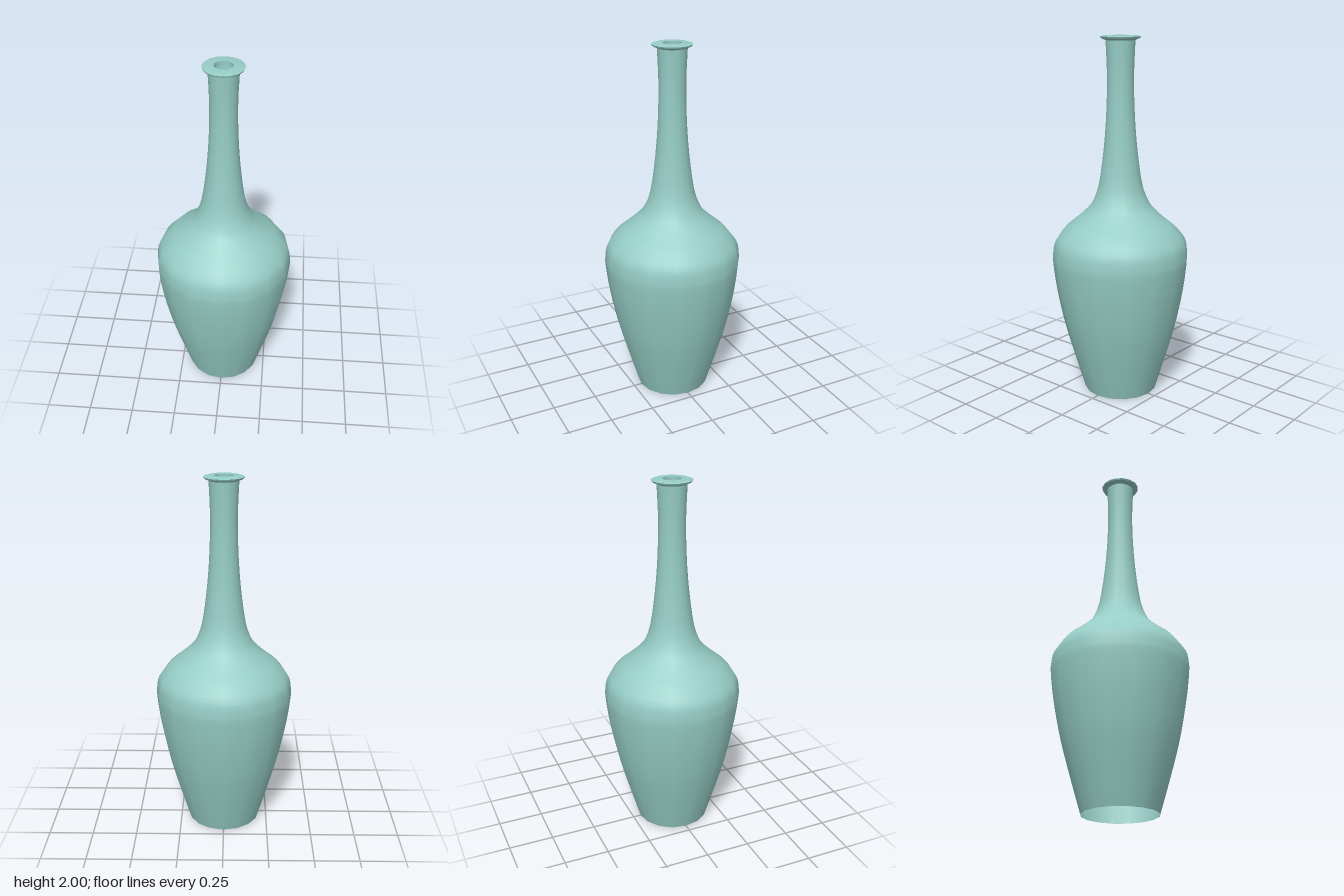
import * as THREE from 'three';
import { toCreasedNormals } from 'three/addons/utils/BufferGeometryUtils.js';

const SIDES = 16;

const toPoints = (pairs) => pairs.map(([r, y]) => new THREE.Vector2(r, y));

export function createModel() {
  const group = new THREE.Group();
  group.name = 'vase';
  const glaze = new THREE.MeshStandardMaterial({ color: 0x96cdc5, side: THREE.DoubleSide });

  // Body, shoulder and neck: one thin smooth shell, open at the foot
  const profile = new THREE.SplineCurve(toPoints([
    [0.205, 0], [0.265, 0.2], [0.32, 0.4], [0.36, 0.6], [0.379, 0.75],
    [0.379, 0.81], [0.365, 0.88], [0.31, 0.95], [0.25, 1.0], [0.195, 1.05],
    [0.157, 1.1], [0.12, 1.2], [0.092, 1.4], [0.077, 1.6], [0.073, 1.8], [0.08, 1.975],
  ]));
  const body = new THREE.Mesh(new THREE.LatheGeometry(profile.getPoints(45), SIDES), glaze);
  body.name = 'body';
  group.add(body);

  // Flared lip with a flat top and a narrow mouth
  const lipGeometry = new THREE.LatheGeometry(toPoints([
    [0.08, 1.975], [0.105, 1.986], [0.109, 1.994], [0.09, 2], [0.049, 2], [0.049, 1.975],
  ]), SIDES);
  const lip = new THREE.Mesh(toCreasedNormals(lipGeometry, 0.6), glaze);
  lip.name = 'lip';
  group.add(lip);

  return group;
}
